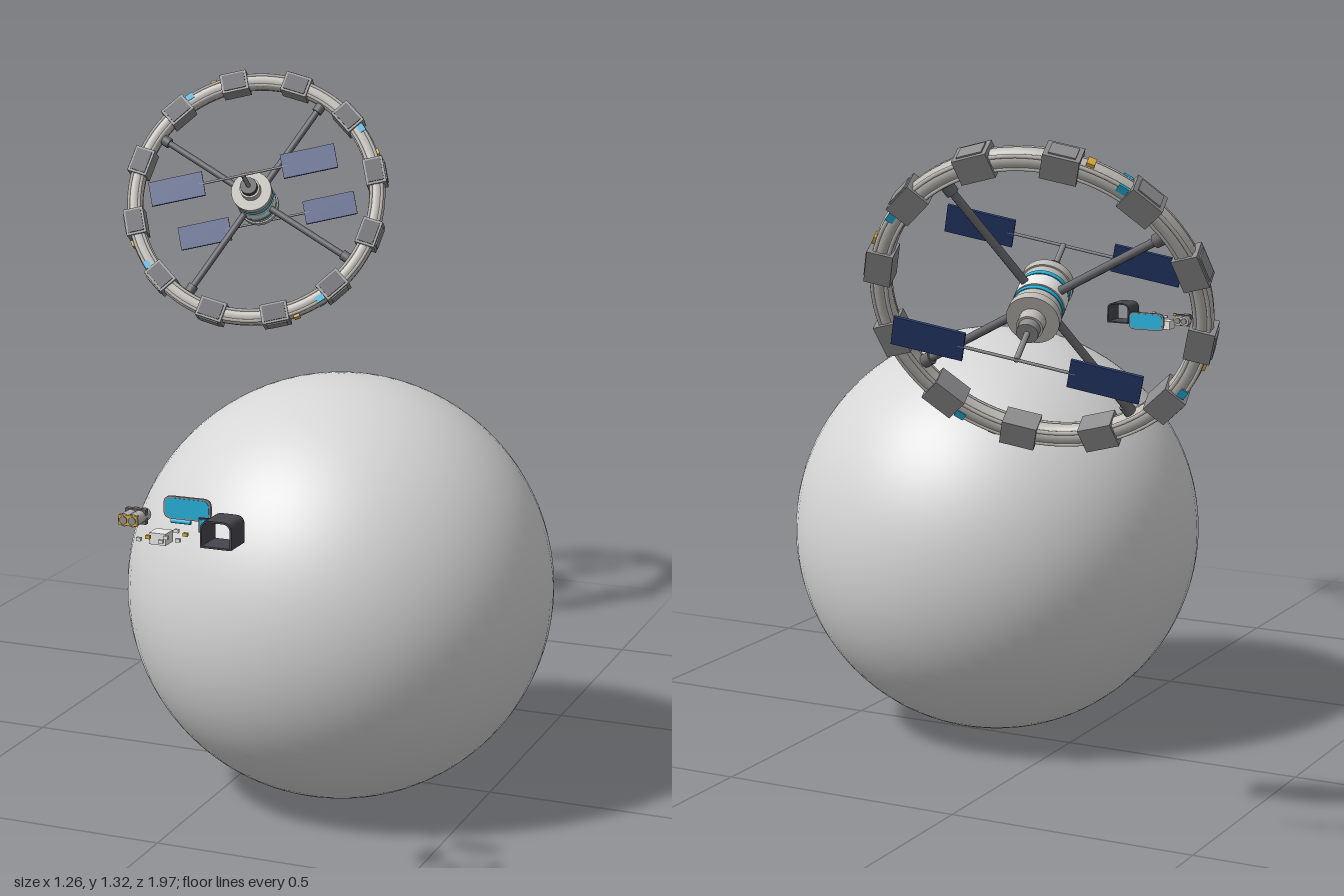
import * as THREE from 'three';

const mat = (name, color, double) => {
  const m = new THREE.MeshStandardMaterial({ color });
  m.name = name;
  if (double) m.side = THREE.DoubleSide;
  return m;
};

export function createModel() {
  const M = {
    moon: mat('moonGrey', 0xd6d6d6),
    hull: mat('hullGrey', 0xbfbcb6),
    light: mat('paleWhite', 0xececea),
    module: mat('moduleGrey', 0x8c8c8e),
    steel: mat('steelGrey', 0x66666a),
    dark: mat('darkGrey', 0x46464e, true),
    solar: mat('solarBlue', 0x2a4075),
    teal: mat('windowTeal', 0x25aed8),
    yellow: mat('signalYellow', 0xd8a838),
  };
  const root = new THREE.Group();
  const add = (parent, name, geo, m, x = 0, y = 0, z = 0) => {
    const mesh = new THREE.Mesh(geo, m);
    mesh.name = name;
    mesh.position.set(x, y, z);
    parent.add(mesh);
    return mesh;
  };
  const group = (parent, name, x = 0, y = 0, z = 0) => {
    const g = new THREE.Group();
    g.name = name;
    g.position.set(x, y, z);
    parent.add(g);
    return g;
  };
  const box = (w, h, d) => new THREE.BoxGeometry(w, h, d);
  // cylinders lying along z or x
  const cylZ = (r, len, seg = 24) => new THREE.CylinderGeometry(r, r, len, seg).rotateX(Math.PI / 2);
  const cylX = (r, len, seg = 10) => new THREE.CylinderGeometry(r, r, len, seg).rotateZ(Math.PI / 2);
  // outline with rounded upper corners (rt) and lower corners (rb)
  const outline = (w, h, rt, rb, shape) => {
    const x = w / 2, y = h / 2;
    shape.moveTo(-x + rb, -y);
    shape.lineTo(x - rb, -y);
    shape.quadraticCurveTo(x, -y, x, -y + rb);
    shape.lineTo(x, y - rt);
    shape.quadraticCurveTo(x, y, x - rt, y);
    shape.lineTo(-x + rt, y);
    shape.quadraticCurveTo(-x, y, -x, y - rt);
    shape.lineTo(-x, -y + rb);
    shape.quadraticCurveTo(-x, -y, -x + rb, -y);
    return shape;
  };
  const extrude = (shape, depth) =>
    new THREE.ExtrudeGeometry(shape, { depth, bevelEnabled: false, curveSegments: 6 }).translate(0, 0, -depth / 2);

  // Moon
  add(root, 'moon', new THREE.SphereGeometry(0.42, 64, 48), M.moon, 0.207, 0.422, 0.077);

  // Wheel station: local z is the axle, local x carries the solar arms
  const station = group(root, 'station', -0.328, 1.044, -0.767);
  const n = new THREE.Vector3(0.195, 0.43, 0.88).normalize();
  const v = n.clone().cross(new THREE.Vector3(0.926, 0.219, -0.306)).normalize();
  const u = v.clone().cross(n);
  station.quaternion.setFromRotationMatrix(new THREE.Matrix4().makeBasis(u, v, n));

  // Rim with raised rails
  const R = 0.279;
  add(station, 'rim', new THREE.TorusGeometry(R, 0.0185, 14, 96), M.hull);
  for (const z of [-0.014, 0.014])
    for (const dr of [-0.012, 0.012])
      add(station, 'rimRail', new THREE.TorusGeometry(R + dr, 0.004, 6, 96), M.hull, 0, 0, z);

  // Rim modules, each with a dark cover on the front
  for (let i = 0; i < 12; i++) {
    const g = group(station, 'module');
    g.rotation.z = (i * Math.PI) / 6;
    add(g, 'moduleBody', box(0.046, 0.062, 0.046), M.module, R);
    add(g, 'moduleCover', box(0.036, 0.051, 0.004), M.dark, R, 0, 0.0235);
    add(g, 'moduleRoof', box(0.004, 0.046, 0.032), M.module, R + 0.0235);
  }

  // Rim windows and signal lamps
  for (let i = 0; i < 4; i++) {
    const w = group(station, 'rimWindow');
    w.rotation.z = (i * Math.PI) / 2 + 0.38;
    for (const s of [-1, 1])
      add(w, 'windowPlate', box(0.014, 0.018, 0.006), M.teal, R + 0.009, 0, s * 0.0165);
    const l = group(station, 'rimLamp');
    l.rotation.z = (i * Math.PI) / 2 + 0.16;
    add(l, 'lampPlate', box(0.006, 0.014, 0.02), M.yellow, R + 0.0185);
  }

  // Spokes
  for (let i = 0; i < 4; i++) {
    const g = group(station, 'spoke');
    g.rotation.z = ((i + 0.5) * Math.PI) / 2;
    add(g, 'spokeTube', cylX(0.0075, 0.23), M.steel, 0.15);
    add(g, 'spokeFoot', cylX(0.012, 0.018), M.steel, 0.253);
  }

  // Hub and axle
  add(station, 'hub', cylZ(0.043, 0.1, 32), M.hull);
  add(station, 'hubWhiteBand', cylZ(0.045, 0.03, 32), M.light);
  add(station, 'axle', cylZ(0.005, 0.35, 10), M.module);
  for (const s of [-1, 1]) {
    add(station, 'hubWindowBand', cylZ(0.0445, 0.009, 32), M.teal, 0, 0, s * 0.0225);
    add(station, 'hubFlange', cylZ(0.046, 0.016, 32), M.hull, 0, 0, s * 0.05);
    add(station, 'dockingNeck', cylZ(0.023, 0.024), M.hull, 0, 0, s * 0.069);
    add(station, 'dockingPort', cylZ(0.019, 0.018), s > 0 ? M.dark : M.module, 0, 0, s * 0.089);

    // Solar wings
    const wing = group(station, 'solarWing', 0, 0, s * 0.174);
    add(wing, 'wingArm', cylX(0.0028, 0.2, 8), M.module);
    for (const t of [-1, 1])
      add(wing, 'solarPanel', box(0.122, 0.056, 0.005), M.solar, t * 0.15);
  }

  // Drifting equipment
  const gear = group(root, 'driftingEquipment', 0, 0.755, 0);

  // Rounded window plate with a thin pale frame
  const win = group(gear, 'windowPanel', 0.205, 0, 0.806);
  add(win, 'windowFrame', extrude(outline(0.088, 0.04, 0.014, 0.014, new THREE.Shape()), 0.005), M.module);
  for (const s of [-1, 1])
    add(win, 'windowPane', extrude(outline(0.081, 0.034, 0.012, 0.012, new THREE.Shape()), 0.002), M.teal, 0, 0, s * 0.0025);

  // Open arched shell
  const shell = outline(0.056, 0.047, 0.016, 0.002, new THREE.Shape());
  shell.holes.push(outline(0.05, 0.041, 0.014, 0.002, new THREE.Path()));
  add(gear, 'archedShell', extrude(shell, 0.056), M.dark, 0.318, 0, 0.918);

  // Twin canister with gold end caps
  const can = group(gear, 'canister', 0.141, -0.002, 0.882);
  for (const s of [-1, 1]) {
    add(can, 'canisterTank', cylZ(0.0115, 0.05, 12), M.hull, s * 0.008, 0, 0);
    add(can, 'canisterCap', cylZ(0.007, 0.058, 12), M.module, s * 0.008, 0, 0);
  }
  add(can, 'canisterStrap', box(0.038, 0.026, 0.01), M.steel, 0, 0, -0.008);
  add(can, 'canisterBand', box(0.034, 0.018, 0.006), M.yellow, 0, 0, 0.024);

  // Small box, handset and loose pieces
  add(gear, 'instrumentBox', box(0.03, 0.02, 0.03), M.light, 0.205, -0.022, 0.915);
  add(gear, 'handset', box(0.018, 0.025, 0.005), M.dark, 0.268, -0.004, 0.88);
  for (const s of [-1, 1])
    add(gear, 'handsetScreen', box(0.013, 0.02, 0.002), M.teal, 0.268, -0.004, 0.88 + s * 0.003);
  add(gear, 'smallRod', cylX(0.004, 0.036, 8), M.teal, 0.226, -0.002, 0.88);
  const loose = [[0.19, 0.97], [0.208, 0.972], [0.23, 0.97], [0.262, 0.972], [0.25, 0.915], [0.236, 0.92], [0.228, 0.945]];
  loose.forEach(([x, z], i) =>
    add(gear, 'loosePiece', box(0.008, 0.006, 0.006), i % 3 === 1 ? M.yellow : M.light, x, -0.013 + (i % 2) * 0.006, z));

  return root;
}
